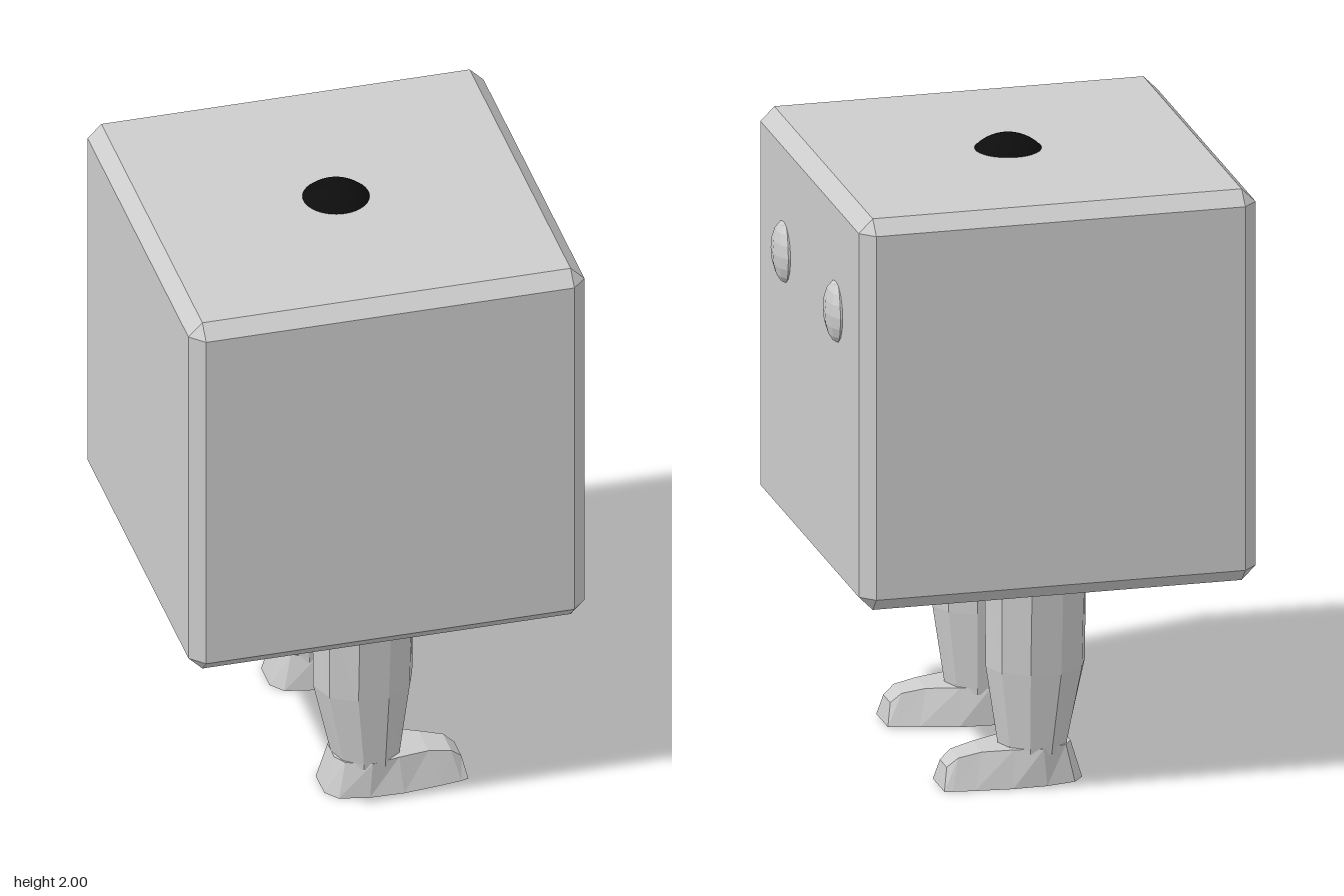
import * as THREE from 'three';
import { ConvexGeometry } from 'three/addons/geometries/ConvexGeometry.js';

const mat = (name, color, flatShading) =>
  Object.assign(new THREE.MeshStandardMaterial({ color, flatShading }), { name });

// Skin equal-length rings of points into a closed solid with fan caps.
function loft(rings) {
  const n = rings[0].length, index = [];
  for (let r = 0; r < rings.length - 1; r++)
    for (let i = 0; i < n; i++) {
      const a = r * n + i, b = r * n + (i + 1) % n;
      index.push(a, b, a + n, b, b + n, a + n);
    }
  const last = (rings.length - 1) * n;
  for (let i = 1; i < n - 1; i++)
    index.push(0, i + 1, i, last, last + i, last + i + 1);
  const g = new THREE.BufferGeometry();
  g.setAttribute('position', new THREE.Float32BufferAttribute(rings.flat(2), 3));
  g.setIndex(index);
  g.computeVertexNormals();
  return g;
}

// Cube with bevelled edges and triangular corners.
function bevelledCube(half, bevel) {
  const pts = [], s = [-1, 1], inner = half - bevel;
  for (const x of s) for (const y of s) for (const z of s)
    pts.push(
      new THREE.Vector3(x * half, y * inner, z * inner),
      new THREE.Vector3(x * inner, y * half, z * inner),
      new THREE.Vector3(x * inner, y * inner, z * half));
  return new ConvexGeometry(pts);
}

// Tapered leg: [y, centre x, radius x, radius z]
function legGeometry() {
  const sides = 10;
  const levels = [
    [0.1, -0.013, 0.112, 0.113],
    [0.12, -0.013, 0.113, 0.115],
    [0.37, -0.022, 0.16, 0.138],
    [0.7, -0.022, 0.164, 0.163],
  ];
  return loft(levels.map(([y, cx, rx, rz]) =>
    Array.from({ length: sides }, (_, i) => {
      const a = -i / sides * Math.PI * 2;
      return [cx + rx * Math.cos(a), y, rz * Math.sin(a)];
    })));
}

// Foot, heel to toe: [bottom x, top x, height, bottom half width, top half width, z shift]
function footGeometry(side) {
  const sections = [
    [-0.16, -0.125, 0.12, 0.05, 0.04, 0],
    [-0.125, -0.1, 0.12, 0.095, 0.08, 0],
    [-0.03, -0.02, 0.12, 0.116, 0.112, 0],
    [0.08, 0.07, 0.12, 0.114, 0.09, 0.005],
    [0.2, 0.17, 0.115, 0.092, 0.06, 0.015],
    [0.27, 0.245, 0.1, 0.077, 0.05, 0.02],
    [0.295, 0.28, 0.07, 0.07, 0.042, 0.02],
  ];
  return loft(sections.map(([xb, xt, h, wb, wt, shift]) => {
    const c = shift * side;
    return [[xb, 0, c - wb], [xt, h, c - wt], [xt, h, c + wt], [xb, 0, c + wb]];
  }));
}

export function createModel() {
  const model = new THREE.Group();
  const grey = mat('light grey', 0xcccccc, true);
  const black = mat('black', 0x0d0d0d, false);
  const add = (parent, name, geometry, material, x, y, z) => {
    const mesh = new THREE.Mesh(geometry, material);
    mesh.name = name;
    mesh.position.set(x, y, z);
    parent.add(mesh);
    return mesh;
  };

  // Body and the ball set in its top
  add(model, 'body', bevelledCube(0.64, 0.045), grey, -0.02, 1.315, 0);
  add(model, 'topBall', new THREE.SphereGeometry(0.145, 48, 32), black, -0.02, 1.855, 0);

  // Eyes and legs, mirrored across z; the face looks along +x
  for (const side of [-1, 1]) {
    const label = side > 0 ? 'Near' : 'Far';
    add(model, 'eye' + label, new THREE.SphereGeometry(1, 10, 8), grey, 0.615, 1.57, side * 0.315)
      .scale.set(0.04, 0.1, 0.09);

    const leg = new THREE.Group();
    leg.name = 'leg' + label;
    leg.position.z = side * 0.322;
    add(leg, 'shin', legGeometry(), grey, 0, 0, 0);
    add(leg, 'foot', footGeometry(side), grey, 0, 0, 0);
    model.add(leg);
  }
  return model;
}
